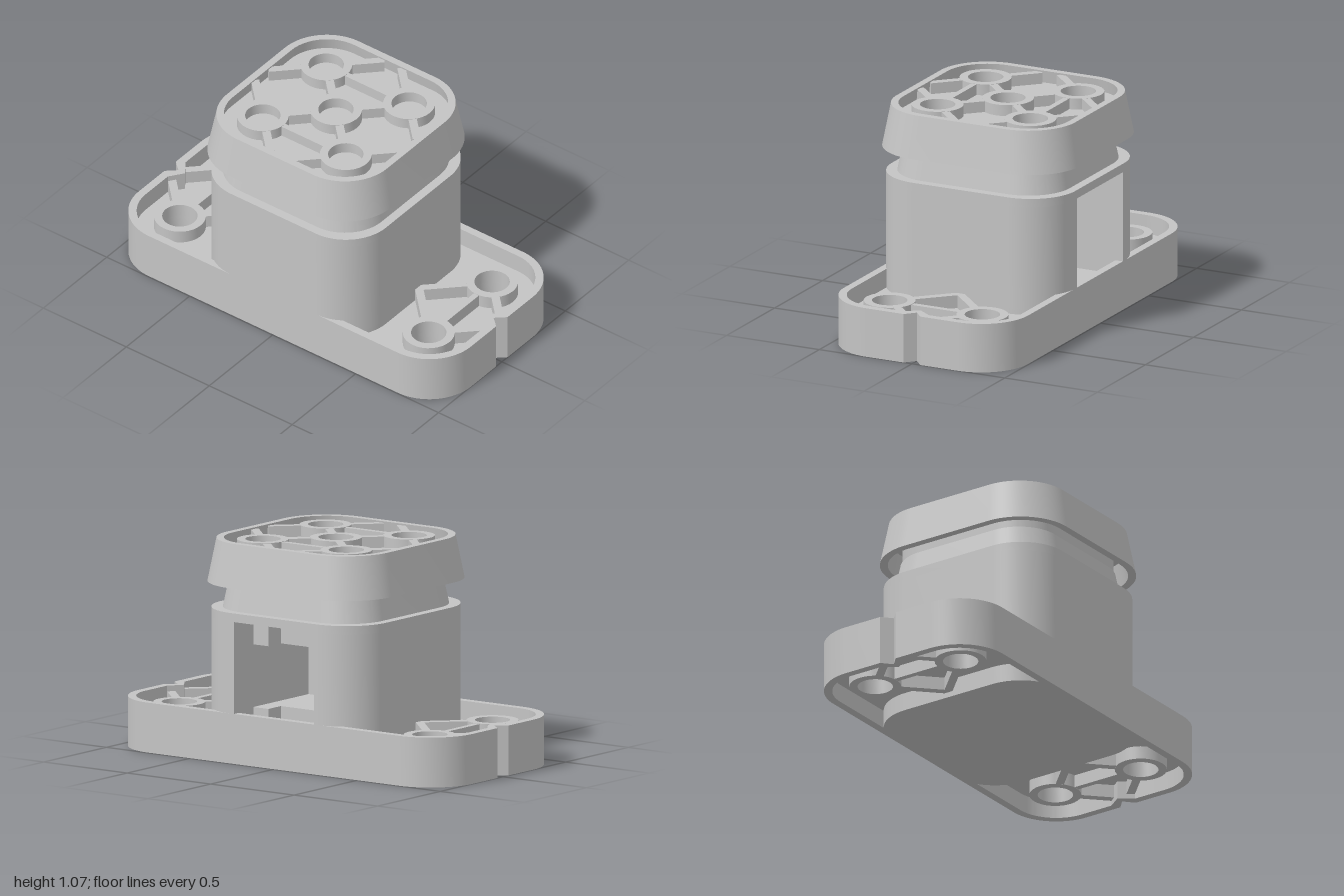
import * as THREE from 'three';
import { toCreasedNormals } from 'three/addons/utils/BufferGeometryUtils.js';

const BOSS = 0.125, HOLE = 0.085, RIB = 0.04;

// Rounded rectangle; optional V notches in the x sides, optional window cut into the back.
function outline(hx, hz, r, { notch = 0, notchHalf = 0.045, window: win = null } = {}) {
  const s = new THREE.Shape();
  s.moveTo(-hx + r, -hz);
  s.lineTo(hx - r, -hz);
  s.absarc(hx - r, -hz + r, r, -Math.PI / 2, 0);
  if (notch) {
    s.lineTo(hx, -notchHalf);
    s.lineTo(hx - notch, 0);
    s.lineTo(hx, notchHalf);
  }
  s.lineTo(hx, hz - r);
  s.absarc(hx - r, hz - r, r, 0, Math.PI / 2);
  if (win) {
    s.lineTo(win.half, hz);
    s.lineTo(win.half, -win.back);
    s.lineTo(-win.half, -win.back);
    s.lineTo(-win.half, hz);
  }
  s.lineTo(-hx + r, hz);
  s.absarc(-hx + r, hz - r, r, Math.PI / 2, Math.PI);
  if (notch) {
    s.lineTo(-hx, notchHalf);
    s.lineTo(-hx + notch, 0);
    s.lineTo(-hx, -notchHalf);
  }
  s.lineTo(-hx, -hz + r);
  s.absarc(-hx + r, -hz + r, r, Math.PI, Math.PI * 1.5);
  return s;
}

function circle(x, z, r) {
  const s = new THREE.Shape();
  s.absarc(x, -z, r, 0, Math.PI * 2);
  return s;
}

// Upright slab from y0 to y1; topScale tapers it toward the top.
function slab(shape, y0, y1, topScale = 1) {
  const g = new THREE.ExtrudeGeometry(shape, { depth: y1 - y0, bevelEnabled: false, curveSegments: 16 });
  g.rotateX(-Math.PI / 2);
  const p = g.attributes.position;
  for (let i = 0; i < p.count; i++) {
    const k = 1 + (topScale - 1) * p.getY(i) / (y1 - y0);
    p.setXYZ(i, p.getX(i) * k, p.getY(i) + y0, p.getZ(i) * k);
  }
  return toCreasedNormals(g, 0.5);
}

export function createModel() {
  const root = new THREE.Group();
  const grey = new THREE.MeshStandardMaterial({ color: 0xc4c4c4 });
  grey.name = 'grey plastic';

  const group = (name) => {
    const g = new THREE.Group();
    g.name = name;
    root.add(g);
    return g;
  };
  const add = (parent, name, geometry) => {
    const m = new THREE.Mesh(geometry, grey);
    m.name = name;
    parent.add(m);
    return m;
  };
  const box = (parent, name, x0, x1, y0, y1, z0, z1) =>
    add(parent, name, new THREE.BoxGeometry(x1 - x0, y1 - y0, z1 - z0))
      .position.set((x0 + x1) / 2, (y0 + y1) / 2, (z0 + z1) / 2);
  const boss = (parent, x, z, y0, y1) => {
    const ring = circle(x, z, BOSS);
    ring.holes.push(circle(x, z, HOLE));
    add(parent, 'boss', slab(ring, y0, y1));
  };
  // Straight rib starting in a boss wall and running from (x, z) along (dx, dz).
  const rib = (parent, x, z, dx, dz, end, y0, y1, width = RIB) => {
    const d = new THREE.Vector2(dx, dz).normalize(), start = 0.105, mid = (start + end) / 2;
    const m = add(parent, 'rib', new THREE.BoxGeometry(end - start, y1 - y0, width));
    m.position.set(x + d.x * mid, (y0 + y1) / 2, z + d.y * mid);
    m.rotation.y = -Math.atan2(d.y, d.x);
  };

  // Base flange: notched rim, thin web, drilled bosses and ribs on both faces
  const base = group('base');
  const rim = outline(1, 0.495, 0.25, { notch: 0.05 });
  rim.holes.push(outline(0.96, 0.455, 0.21, { notch: 0.05, notchHalf: 0.07 }));
  add(base, 'baseRim', slab(rim, 0, 0.243));
  const web = outline(0.98, 0.475, 0.23, { notch: 0.05 });
  for (const sx of [-1, 1]) for (const sz of [-1, 1]) web.holes.push(circle(sx * 0.75, sz * 0.25, HOLE));
  add(base, 'baseWeb', slab(web, 0.09, 0.15));
  for (const sx of [-1, 1]) {
    for (const sz of [-1, 1]) {
      const x = sx * 0.75, z = sz * 0.25;
      boss(base, x, z, 0.025, 0.215);
      rib(base, x, z, sx, -sz, 0.311, 0.025, 0.215);
      rib(base, x, z, -sx, -sz, 0.36, 0.026, 0.214);
    }
    rib(base, sx * 0.75, -0.25, 0, 1, 0.395, 0.027, 0.213, 0.03);
  }

  // Tower: solid foot, wall with a window in the back, and a closed top
  const tower = group('tower');
  const body = (options) => outline(0.495, 0.495, 0.24, options);
  add(tower, 'towerFoot', slab(body(), 0, 0.175));
  add(tower, 'towerWall', slab(body({ window: { half: 0.24, back: 0.1 } }), 0.175, 0.69));
  add(tower, 'towerTop', slab(body(), 0.69, 0.732));

  // Stepped latch blocks inside the window
  const latch = group('latch');
  box(latch, 'lowerTongue', 0.15, 0.24, 0.175, 0.255, -0.34, -0.22);
  box(latch, 'lowerShelf', -0.24, 0.24, 0.175, 0.255, -0.24, 0.1);
  box(latch, 'upperTongue', 0.15, 0.24, 0.56, 0.69, -0.34, -0.22);
  box(latch, 'upperShelf', -0.24, 0.24, 0.56, 0.69, -0.24, 0.1);

  // Tapered neck and the stem hidden under the cap
  const neck = group('neck');
  add(neck, 'neckTaper', slab(outline(0.45, 0.45, 0.22), 0.732, 0.85, 0.953));
  add(neck, 'neckStem', slab(outline(0.42, 0.42, 0.2), 0.85, 0.98));

  // Cap: tapered shell, recessed floor, bosses and ribs
  const cap = group('cap');
  const shell = outline(0.517, 0.517, 0.27);
  shell.holes.push(outline(0.478, 0.478, 0.23));
  add(cap, 'capShell', slab(shell, 0.857, 1.067, 0.93));
  add(cap, 'capFloor', slab(outline(0.47, 0.47, 0.23), 0.97, 1.005));
  const y0 = 1, y1 = 1.06;
  boss(cap, 0, 0, y0, y1);
  for (const sx of [-1, 1]) for (const sz of [-1, 1]) {
    const x = sx * 0.25, z = sz * 0.25;
    boss(cap, x, z, y0, y1);
    rib(cap, x, z, -sx, -sz, 0.25, y0, y1 - 0.001);
    rib(cap, x, z, sx, -sz, 0.28, y0, y1 - 0.001);
    rib(cap, x, z, -sx, sz, 0.28, y0, y1 - 0.001);
  }
  for (const sz of [-1, 1]) rib(cap, -0.25, sz * 0.25, 1, 0, 0.395, y0, y1 - 0.002, 0.03);

  return root;
}
